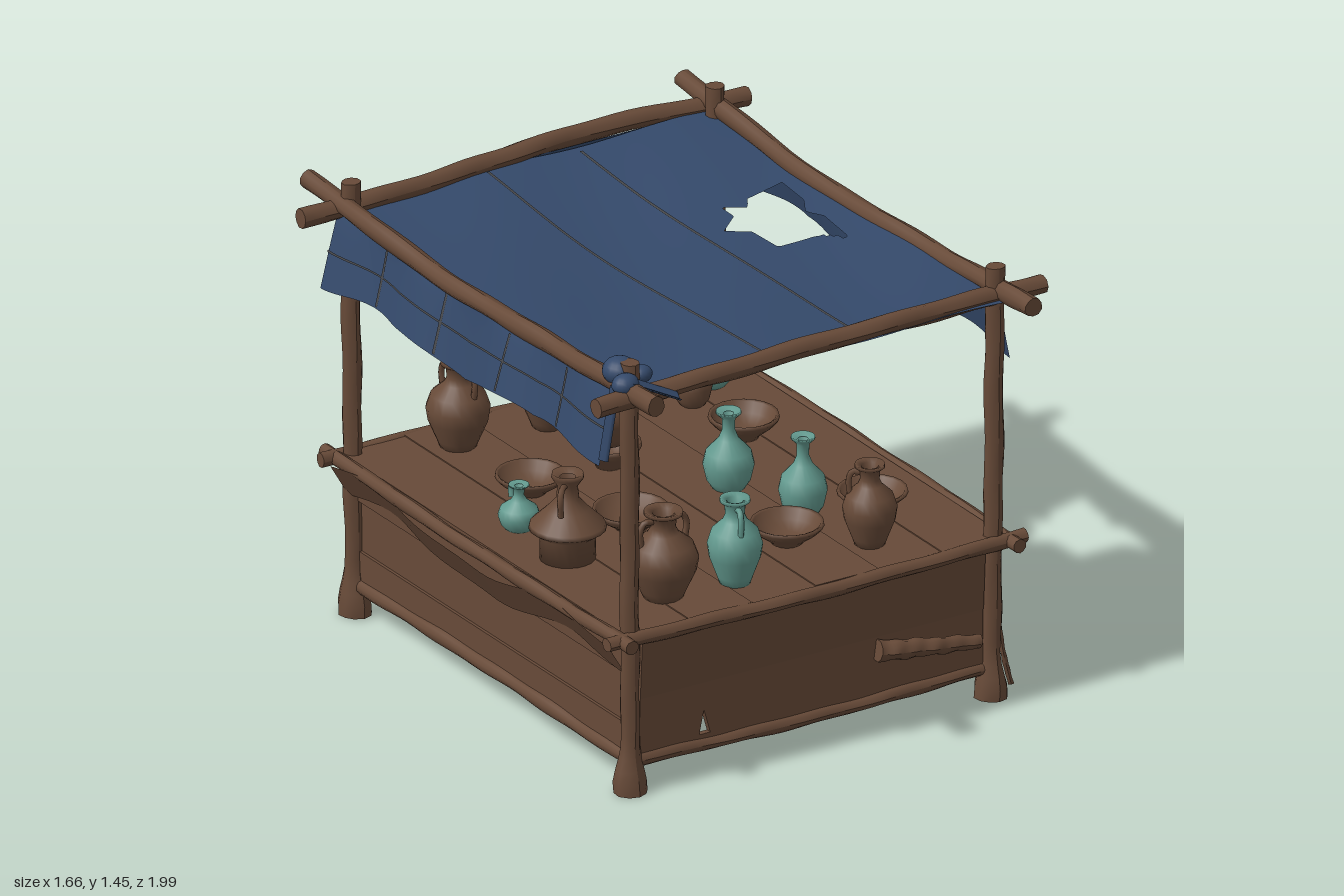
import * as THREE from 'three';

const paint = (name, color, side = THREE.FrontSide) => {
  const m = new THREE.MeshStandardMaterial({ color, side });
  m.name = name;
  return m;
};

export function createModel() {
  const model = new THREE.Group();
  const wood = paint('wood', 0x674a38);
  const clay = paint('clay and brown cloth', 0x674a38, THREE.DoubleSide);
  const blue = paint('blue cloth', 0x34496a, THREE.DoubleSide);
  const seamMat = paint('seam', 0x46474a, THREE.DoubleSide);
  const teal = paint('teal glaze', 0x639a8f, THREE.DoubleSide);

  const V = (x, y, z) => new THREE.Vector3(x, y, z);
  const add = (name, geo, mat, parent = model) => {
    const m = new THREE.Mesh(geo, mat);
    m.name = name;
    parent.add(m);
    return m;
  };

  // Lumpy log following a few points; radius(t) shapes it along its length
  const pole = (name, pts, radius, seed = 0) => {
    const curve = new THREE.CatmullRomCurve3(pts);
    const dir = pts[pts.length - 1].clone().sub(pts[0]).normalize();
    const q = new THREE.Quaternion().setFromUnitVectors(V(0, 1, 0), dir);
    const geo = new THREE.CylinderGeometry(1, 1, 1, 10, 36);
    const p = geo.attributes.position, v = V(0, 0, 0);
    for (let i = 0; i < p.count; i++) {
      const t = p.getY(i) + 0.5;
      v.set(p.getX(i), 0, p.getZ(i));
      const lump = 1 + 0.07 * Math.sin(t * 31 + seed * 2 + v.x * 2) + 0.06 * Math.sin(t * 17 + seed + v.z * 3);
      v.multiplyScalar(radius(t) * lump).applyQuaternion(q).add(curve.getPoint(t));
      p.setXYZ(i, v.x, v.y, v.z);
    }
    geo.computeVertexNormals();
    return add(name, geo, wood);
  };

  // Cloth from a surface rule; keep() can drop triangles to tear holes
  const cloth = (name, rule, nu, nv, mat, keep) => {
    const geo = new THREE.PlaneGeometry(1, 1, nu, nv);
    const p = geo.attributes.position;
    for (let i = 0; i < p.count; i++) p.setXYZ(i, ...rule(p.getX(i) + 0.5, p.getY(i) + 0.5));
    if (keep) {
      const idx = geo.index.array, out = [];
      for (let i = 0; i < idx.length; i += 3) {
        const tri = [idx[i], idx[i + 1], idx[i + 2]];
        const mean = (f) => tri.reduce((s, k) => s + f(k), 0) / 3;
        if (keep(mean((k) => p.getX(k)), mean((k) => p.getZ(k)))) out.push(...tri);
      }
      geo.setIndex(out);
    }
    geo.computeVertexNormals();
    return add(name, geo, mat);
  };

  const box = (name, w, h, d, x, y, z) => {
    const m = add(name, new THREE.BoxGeometry(w, h, d), wood);
    m.position.set(x, y, z);
    return m;
  };

  // Corner posts with flared feet
  for (const sx of [-1, 1]) for (const sz of [-1, 1]) {
    const foot = (t) => 0.03 + 0.023 * Math.min(1, Math.max(0, 1 - (t - 0.025) / 0.075));
    pole('post', [V(sx * 0.65, 0.01, sz * 0.78), V(sx * 0.657, 0.7, sz * 0.785), V(sx * 0.66, 1.45, sz * 0.79)], foot, sx + sz * 2);
  }

  // Roof beams
  const beam = () => 0.031;
  pole('frontBeam', [V(-0.82, 1.355, 0.85), V(-0.3, 1.37, 0.85), V(0.3, 1.37, 0.825), V(0.83, 1.35, 0.79)], beam, 1);
  pole('backBeam', [V(-0.83, 1.36, -0.805), V(-0.3, 1.365, -0.82), V(0.2, 1.37, -0.865), V(0.81, 1.355, -0.85)], beam, 2);
  pole('leftBeam', [V(0.67, 1.385, 0.99), V(0.68, 1.355, 0.5), V(0.665, 1.345, -0.2), V(0.675, 1.39, -1)], beam, 3);
  pole('rightBeam', [V(-0.69, 1.385, 0.99), V(-0.675, 1.355, 0.4), V(-0.68, 1.345, -0.2), V(-0.685, 1.39, -0.99)], beam, 4);

  // Sagging roof cloth with a torn hole; nearby vertices slide onto the tear's edge
  const roofY = (x, z) => 1.35 - 0.035 * Math.cos(x * 2.2) * Math.cos(z * 1.85) + 0.006 * Math.sin(x * 9 + z * 4);
  const tear = [[0.25, -0.1], [0.33, -0.17], [0.33, -0.24], [0.4, -0.2], [0.43, -0.25], [0.58, -0.29], [0.57, -0.15],
    [0.53, -0.08], [0.56, -0.02], [0.54, 0.15], [0.47, 0.08], [0.33, 0.08], [0.32, -0.05]].map((a) => new THREE.Vector2(...a));
  const tearEdges = tear.map((a, i) => [a, tear[(i + 1) % tear.length]]);
  const inTear = (x, z) => tearEdges.reduce((inside, [a, b]) =>
    ((a.y > z) !== (b.y > z) && x < a.x + (b.x - a.x) * (z - a.y) / (b.y - a.y) ? !inside : inside), false);
  const snap = (pt) => {
    let best = pt, limit = 0.01;
    for (const [a, b] of tearEdges) {
      const ab = b.clone().sub(a);
      const k = THREE.MathUtils.clamp(pt.clone().sub(a).dot(ab) / ab.lengthSq(), 0, 1);
      const near = a.clone().addScaledVector(ab, k);
      if (near.distanceTo(pt) < limit) { limit = near.distanceTo(pt); best = near; }
    }
    return best;
  };
  cloth('roofCloth', (u, v) => {
    const { x, y: z } = snap(new THREE.Vector2(-0.69 + 1.38 * u, 0.85 - 1.68 * v));
    return [x, roofY(x, z), z];
  }, 90, 110, blue, (x, z) => !inTear(x, z));
  for (const sx of [-0.16, 0.175]) cloth('roofSeam', (u, v) => {
    const z = 0.8 - 1.6 * v, x = sx + (u - 0.5) * 0.01 + 0.006 * Math.sin(z * 5);
    return [x, roofY(x, z) + 0.003, z];
  }, 1, 40, seamMat);

  // Hanging skirts on both sides and the back
  for (const s of [-1, 1]) {
    const side = (u, v, lift = 0) => {
      const z = 0.76 - 1.57 * u, drop = 0.225 + 0.015 * Math.sin(u * 13 + 1) - 0.015 * Math.abs(Math.sin(u * 12.6));
      const wave = 0.012 * Math.sin(z * 13 + s) * Math.sqrt(v);
      return [s * (0.69 + 0.055 * v + wave + lift), 1.35 - 0.012 * Math.sin(u * 3.1) - drop * v, z];
    };
    cloth('sideSkirt', (u, v) => side(u, 1 - v), 60, 8, blue);
    for (const u0 of [0.17, 0.37, 0.6, 0.82]) {
      cloth('skirtSeam', (u, v) => side(u0 + (u - 0.5) * 0.007, 0.96 - v * 0.88, 0.004), 1, 8, seamMat);
    }
    cloth('skirtSeam', (u, v) => side(u, 0.52 - v * 0.03, 0.004), 60, 1, seamMat);
  }
  cloth('backSkirt', (u, v) => {
    const x = -0.59 + 1.18 * u, d = 1 - v;
    return [x, 1.35 - d * (0.19 - 0.025 * u + 0.005 * Math.sin(u * 16)), -0.835 - 0.025 * d - 0.01 * d * Math.sin(x * 16)];
  }, 50, 8, blue);

  // Blue knot tied around the front corner, with two loose tails
  const knotGeo = new THREE.SphereGeometry(1, 16, 12);
  for (const [x, y, z, a, b, c] of [[-0.67, 1.41, 0.75, 0.055, 0.045, 0.055], [-0.61, 1.395, 0.78, 0.035, 0.028, 0.03], [-0.7, 1.4, 0.83, 0.045, 0.035, 0.04]]) {
    const lump = add('clothKnot', knotGeo, blue);
    lump.position.set(x, y, z);
    lump.scale.set(a, b, c);
  }
  cloth('knotTail', (u, v) => [-0.7 + 0.15 * u, 1.42 - 0.07 * u + 0.012 * Math.sin(v * 6), 0.83 + 0.05 * u + 0.035 * v], 8, 4, blue);
  cloth('knotTail', (u, v) => [-0.73 + 0.05 * u - 0.03 * (1 - v), 1.14 + 0.25 * v, 0.77 + 0.03 * Math.sin(u * 5) + 0.02 * v], 6, 6, blue);

  // Table top: planks framed by logs
  for (let i = 0; i < 6; i++) box('tablePlank', 0.228, 0.03, 1.62, -0.5725 + i * 0.229, 0.532 + (i % 2) * 0.003, 0);
  const rim = () => 0.023;
  for (const s of [-1, 1]) {
    pole('tableRimLong', [V(s * 0.7, 0.533, 0.87), V(s * 0.71, 0.53, 0), V(s * 0.7, 0.533, -0.87)], rim, s);
    pole('tableRimShort', [V(-0.755, 0.533, s * 0.81), V(0, 0.528, s * 0.82), V(0.755, 0.535, s * 0.81)], rim, s + 3);
    pole('lowRailShort', [V(-0.64, 0.11, s * 0.775), V(0, 0.1, s * 0.78), V(0.64, 0.11, s * 0.775)], rim, s + 5);
    pole('lowRailLong', [V(s * 0.645, 0.11, 0.77), V(s * 0.65, 0.12, 0), V(s * 0.645, 0.11, -0.77)], rim, s + 7);
  }

  // Front and back boards, the lower ones with a broken notch
  const flat = (pts) => pts.map((a) => new THREE.Vector2(...a));
  const notched = (name, notch, z) => {
    const board = new THREE.Shape(flat([[-0.62, 0.09], [0.62, 0.09], [0.62, 0.31], [-0.62, 0.315]]));
    board.holes.push(new THREE.Path(flat(notch)));
    add(name, new THREE.ExtrudeGeometry(board, { depth: 0.02, bevelEnabled: false }), wood).position.z = z;
  };
  notched('frontLowerBoard', [[-0.405, 0.14], [-0.388, 0.22], [-0.365, 0.14]], 0.765);
  notched('backLowerBoard', [[-0.42, 0.13], [-0.395, 0.235], [-0.35, 0.13]], -0.77);
  box('frontUpperBoard', 1.24, 0.205, 0.025, 0, 0.415, 0.782).rotation.x = 0.06;
  box('backUpperBoard', 1.24, 0.205, 0.03, 0, 0.412, -0.785).rotation.x = -0.06;
  pole('looseFrontBoard', [V(0.23, 0.27, 0.8), V(0.4, 0.25, 0.815), V(0.59, 0.22, 0.81)], (t) => 0.034 - 0.012 * t, 2);

  // Side boards
  for (const s of [-1, 1]) {
    box('sideUpperBoard', 0.02, 0.12, 1.54, s * 0.645, 0.455, 0);
    box('sideMiddleBoard', 0.02, 0.18, 1.54, s * 0.63, 0.31, 0);
    box('sideLowerBoard', 0.02, 0.13, 1.54, s * 0.64, 0.16, 0);
  }
  cloth('sideDrape', (u, v) => [-0.665 - 0.065 * v - 0.01 * Math.sin(u * 20), 0.4 + 0.11 * v + 0.03 * Math.sin(u * 9), 0.78 - 1.56 * u], 30, 4, clay);

  // Ragged cloth over the side, with rolled bundles beside it
  cloth('hangingCloth', (u, v) => {
    const z = 0.43 - 0.68 * u, ragged = v === 0 ? 0.005 * Math.sin(u * 50) + 0.007 * Math.sin(u * 23) : 0;
    return [0.735 - 0.03 * v + 0.008 * Math.sin(u * 11) * (1 - v), 0.05 + 0.46 * v + ragged, z];
  }, 40, 8, clay);
  pole('rolledBundle', [V(0.68, 0.41, 0.7), V(0.69, 0.39, 0.57), V(0.68, 0.4, 0.43)], () => 0.036, 1);
  pole('rolledBundle', [V(0.69, 0.41, -0.28), V(0.7, 0.4, -0.45), V(0.69, 0.4, -0.66)], () => 0.036, 4);
  box('slantedPlank', 0.015, 0.05, 0.3, 0.655, 0.25, -0.47).rotation.x = -0.5;
  pole('hangingRope', [V(0.68, 0.32, 0.76), V(0.7, 0.15, 0.77), V(0.73, 0.03, 0.77)], () => 0.009, 2);

  // Vessel profiles as [radius, height] fractions
  const profiles = {
    jug: [[0, 0], [0.55, 0], [0.66, 0.1], [0.93, 0.32], [1, 0.47], [0.85, 0.62], [0.45, 0.74], [0.35, 0.81], [0.38, 0.92], [0.55, 0.96], [0.54, 1], [0.3, 0.97], [0.26, 0.8]],
    bottle: [[0, 0], [0.6, 0], [0.85, 0.12], [1, 0.32], [0.88, 0.48], [0.4, 0.64], [0.25, 0.75], [0.26, 0.9], [0.5, 0.97], [0.48, 1], [0.2, 0.96]],
    brimmed: [[0, 0], [0.72, 0], [0.72, 0.28], [1, 0.36], [0.97, 0.41], [0.55, 0.58], [0.3, 0.7], [0.26, 0.85], [0.42, 0.95], [0.4, 1], [0.2, 0.95]],
    bowl: [[0, 0], [0.42, 0], [0.45, 0.15], [0.85, 0.6], [1, 0.85], [0.98, 1], [0.9, 0.95], [0.75, 0.55], [0.4, 0.25], [0, 0.2]],
  };
  // [profile, material, x, z, radius, height, handles, base height]
  const vessels = [
    ['jug', clay, -0.43, 0.62, 0.11, 0.29, 2], ['jug', teal, -0.19, 0.65, 0.086, 0.285, 2], ['jug', clay, 0.31, 0.63, 0.085, 0.27, 1],
    ['brimmed', clay, -0.52, 0.22, 0.12, 0.285, 1], ['bottle', teal, 0.26, 0.33, 0.076, 0.26, 0], ['bottle', teal, 0.17, 0.05, 0.08, 0.26, 0],
    ['bottle', teal, -0.53, -0.04, 0.065, 0.15, 1], ['jug', clay, -0.05, -0.29, 0.095, 0.245, 2, 0.625], ['bowl', clay, -0.05, -0.28, 0.1, 0.085, 0],
    ['bottle', clay, 0.41, -0.53, 0.062, 0.2, 0], ['bottle', teal, 0.53, -0.62, 0.075, 0.185, 1], ['jug', clay, -0.36, -0.65, 0.1, 0.29, 2],
    ['jug', clay, -0.05, -0.63, 0.085, 0.25, 1], ['bottle', teal, 0.12, -0.61, 0.07, 0.22, 1],
    ['bowl', clay, 0.1, 0.49, 0.115, 0.075, 0], ['bowl', clay, 0.46, 0.41, 0.11, 0.065, 0], ['bowl', clay, 0.41, -0.24, 0.11, 0.08, 0],
    ['bowl', clay, -0.24, 0.14, 0.12, 0.07, 0], ['bowl', clay, -0.36, -0.24, 0.11, 0.07, 0],
  ];
  vessels.forEach(([kind, mat, x, z, r, h, handles, base = 0.545], i) => {
    const g = new THREE.Group();
    g.name = mat === teal ? 'glazedVessel' : 'clayVessel';
    add('body', new THREE.LatheGeometry(profiles[kind].map(([a, b]) => new THREE.Vector2(a * r, b * h)), 20), mat, g);
    for (let k = 0; k < handles; k++) {
      const s = k ? -1 : 1;
      const path = new THREE.CatmullRomCurve3([V(s * r * 0.3, h * 0.89, 0), V(s * r * 0.62, h * 0.9, 0), V(s * r * 0.76, h * 0.8, 0), V(s * r * 0.7, h * 0.6, 0)]);
      add('handle', new THREE.TubeGeometry(path, 10, 0.01, 6), mat, g);
    }
    g.position.set(x, base, z);
    g.rotation.y = i * 1.3;
    model.add(g);
  });

  return model;
}
